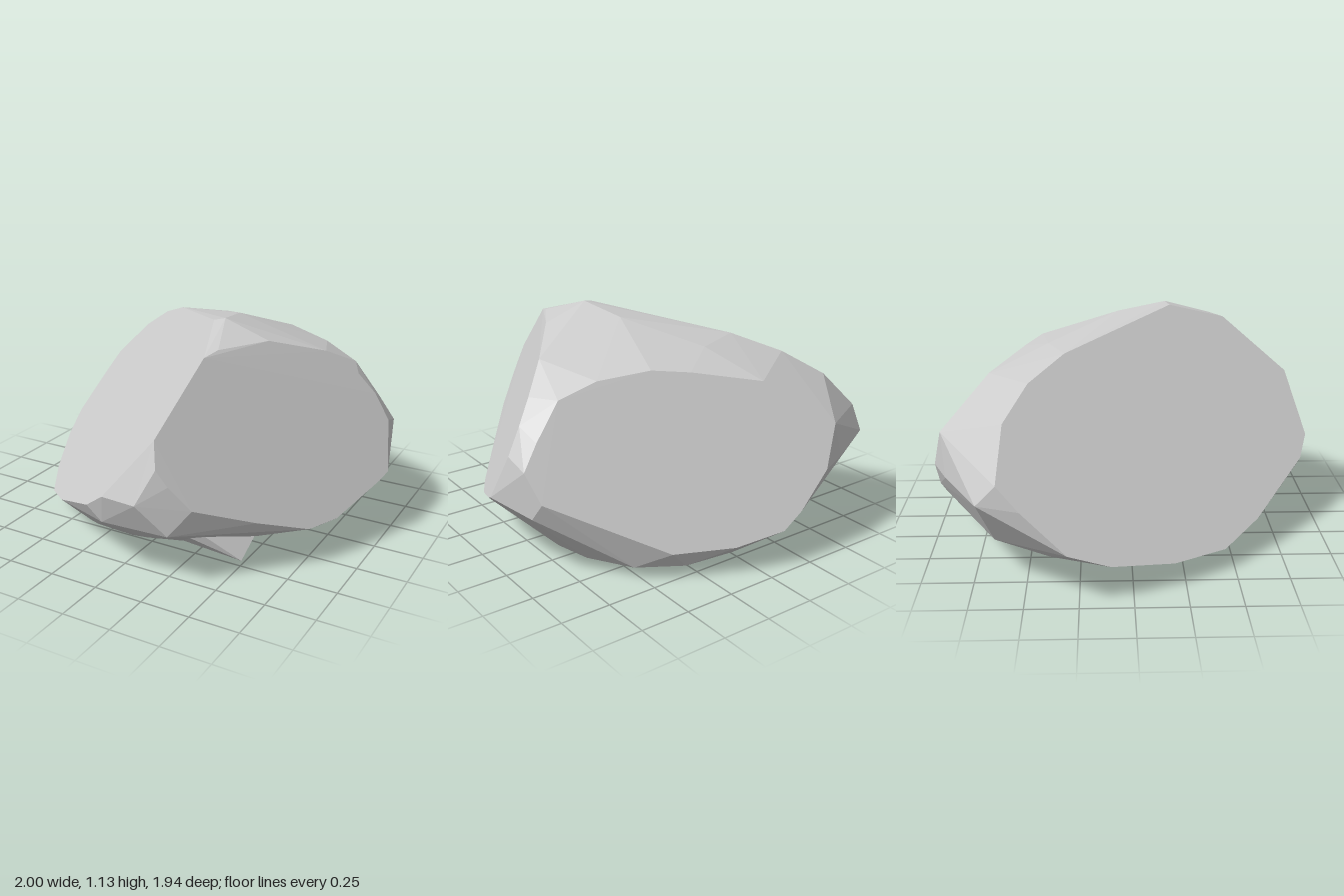
import * as THREE from 'three';
import { ConvexGeometry } from 'three/addons/geometries/ConvexGeometry.js';

const material = new THREE.MeshStandardMaterial({ color: 0xcccccc, flatShading: true });
const toVectors = (list) => list.map((p) => new THREE.Vector3(...p));

// A flat cut face: outline in x and y, depth from the plane z = a x + b y + c
const cutFace = (a, b, c, outline) =>
  outline.map(([x, y]) => new THREE.Vector3(x, y, a * x + b * y + c));

function hull(name, points) {
  const mesh = new THREE.Mesh(new ConvexGeometry(points), material);
  mesh.name = name;
  return mesh;
}

export function createModel() {
  const group = new THREE.Group();
  group.name = 'rock';

  // Large slanted face at the front
  const frontFace = cutFace(1.503, -1.49, 1.59, [
    [-1, 0.26], [-0.95, 0.45], [-0.91, 0.56], [-0.69, 0.77], [-0.49, 0.9], [-0.29, 0.99],
    [0, 1.06], [0.2, 1.12], [0.31, 1.03], [0.25, 0.74], [0.02, 0.45], [-0.1, 0.36],
    [-0.46, 0.18], [-0.65, 0.11], [-0.81, 0.12], [-0.95, 0.18],
  ]);

  // Face on the left side
  const sideFace = cutFace(-1.74, -0.835, 1.91, [
    [0.34, 1.05], [0.48, 1.05], [0.67, 0.96], [0.8, 0.83], [0.88, 0.72], [0.95, 0.59],
    [1, 0.36], [0.98, 0.33], [0.87, 0.22], [0.79, 0.21], [0.62, 0.3], [0.42, 0.42],
    [0.33, 0.54], [0.28, 0.62],
  ]);

  // Face at the back
  const backFace = cutFace(0.434, 0.445, -1.013, [
    [0.31, 0.94], [0.55, 0.91], [0.73, 0.84], [0.86, 0.67], [0.94, 0.55], [0.9, 0.41],
    [0.6, 0.26], [0.41, 0.15], [0.13, 0.15], [-0.1, 0.2], [-0.2, 0.28], [-0.36, 0.45],
    [-0.45, 0.65], [-0.17, 0.86], [0.14, 0.92],
  ]);

  // Flat underside, an oval turned by 45 degrees
  const underside = [];
  for (let i = 0; i < 16; i++) {
    const t = (i / 16) * Math.PI * 2;
    const u = 0.62 * Math.cos(t) * Math.SQRT1_2;
    const w = 0.75 * Math.sin(t) * Math.SQRT1_2;
    underside.push(new THREE.Vector3(w - u, 0.06, -0.1 - w - u));
  }

  // Rounded surface between the cut faces
  const rounded = toVectors([
    [0.25, 1.13, 0.2], [0.2, 1.09, -0.05], [0.12, 1.03, -0.2], [-0.05, 0.98, -0.41],
    [0.45, 1.0, -0.12], [0.92, 0.32, -0.38],
    [-0.875, 0.45, -0.71], [-0.54, 0.45, -0.89], [-0.7, 0.2, -0.65], [-0.4, 0.18, -0.78],
    [-0.88, 0.2, -0.38], [0.2, 0.45, 0.96], [-0.02, 0.29, 0.9], [0.32, 0.29, 0.88],
    [-0.15, 0.17, 0.74], [0.12, 0.17, 0.74], [0.74, 0.09, 0.08], [0.74, 0.1, -0.3],
  ]);
  group.add(hull('rockBody', [...frontFace, ...sideFace, ...backFace, ...underside, ...rounded]));

  // Small points under the rock
  group.add(hull('undersideSpikeLarge', toVectors([
    [0.11, 0, -0.22], [-0.09, 0.07, -0.2], [0.1, 0.07, -0.08], [0.35, 0.07, -0.2], [0.12, 0.07, -0.36],
  ])));
  group.add(hull('undersideSpikeSmall', toVectors([
    [-0.23, 0.03, 0.1], [-0.34, 0.07, 0.12], [-0.22, 0.07, 0.18], [-0.14, 0.07, 0.1], [-0.22, 0.07, 0.02],
  ])));

  // Shard jutting out low at the front
  group.add(hull('shard', toVectors([
    [0.54, 0.075, 0.57], [0.2, 0.1, 0.57], [0.3, 0.21, 0.7], [0.38, 0.22, 0.67], [0.5, 0.09, 0.35],
  ])));
  return group;
}
